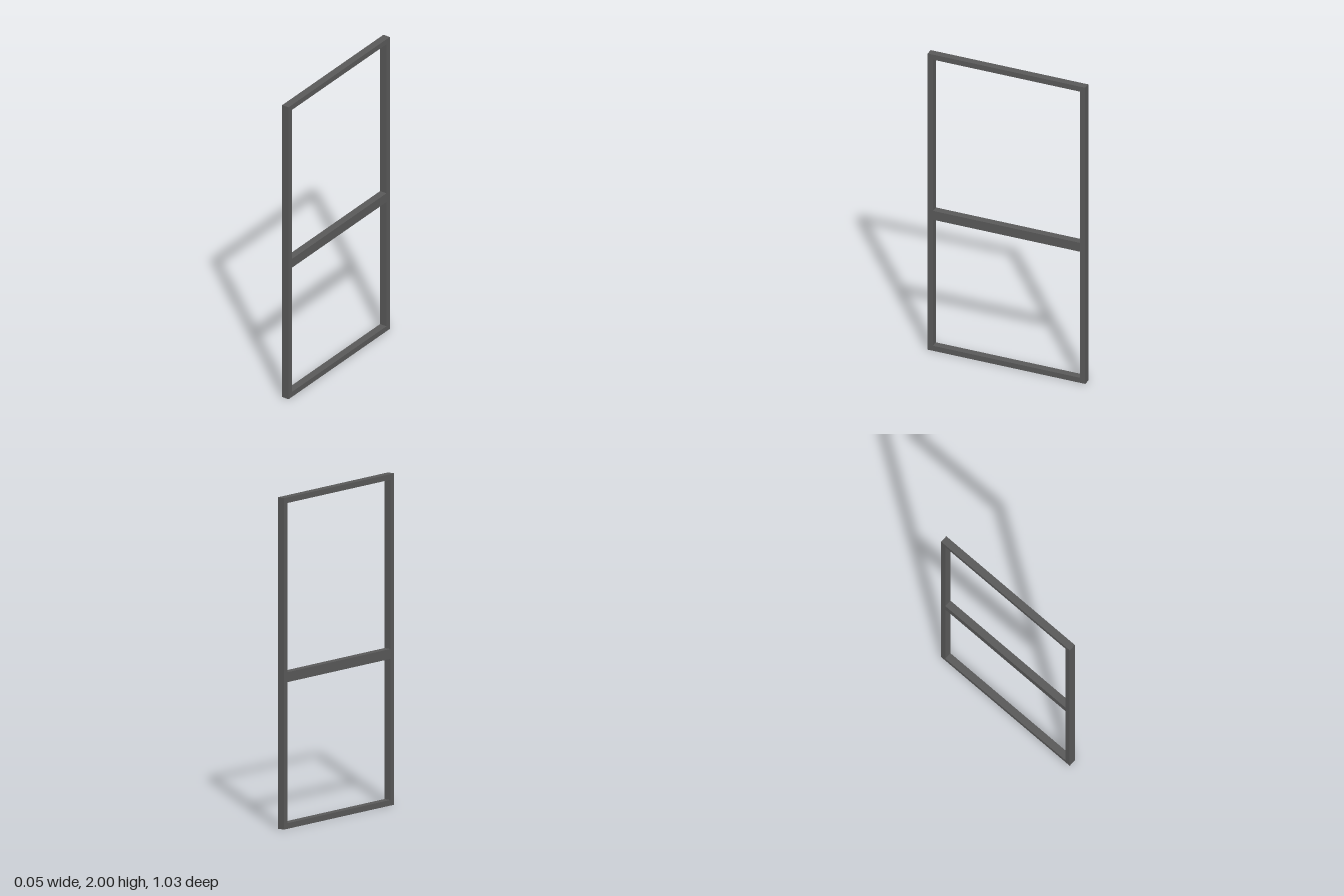
import * as THREE from 'three';

export function createModel() {
  const group = new THREE.Group();
  group.name = 'doorFrame';
  const darkGrey = new THREE.MeshStandardMaterial({ color: 0x5a5a5a });
  darkGrey.name = 'darkGrey';

  const height = 2, width = 1.026, depth = 0.046, bar = 0.034;

  // Outer frame: one rectangular ring, extruded through the depth
  const outline = new THREE.Shape([
    new THREE.Vector2(-width / 2, 0),
    new THREE.Vector2(width / 2, 0),
    new THREE.Vector2(width / 2, height),
    new THREE.Vector2(-width / 2, height),
  ]);
  const w = width / 2 - bar;
  outline.holes.push(new THREE.Path([
    new THREE.Vector2(-w, bar),
    new THREE.Vector2(-w, height - bar),
    new THREE.Vector2(w, height - bar),
    new THREE.Vector2(w, bar),
  ]));
  const ring = new THREE.ExtrudeGeometry(outline, { depth, bevelEnabled: false });
  ring.translate(0, 0, -depth / 2);
  ring.rotateY(Math.PI / 2);
  const frame = new THREE.Mesh(ring, darkGrey);
  frame.name = 'outerFrame';
  group.add(frame);

  // Middle rail spanning the opening
  const rail = new THREE.Mesh(new THREE.BoxGeometry(depth, 0.06, 2 * w), darkGrey);
  rail.name = 'middleRail';
  rail.position.y = 0.915;
  group.add(rail);

  return group;
}
